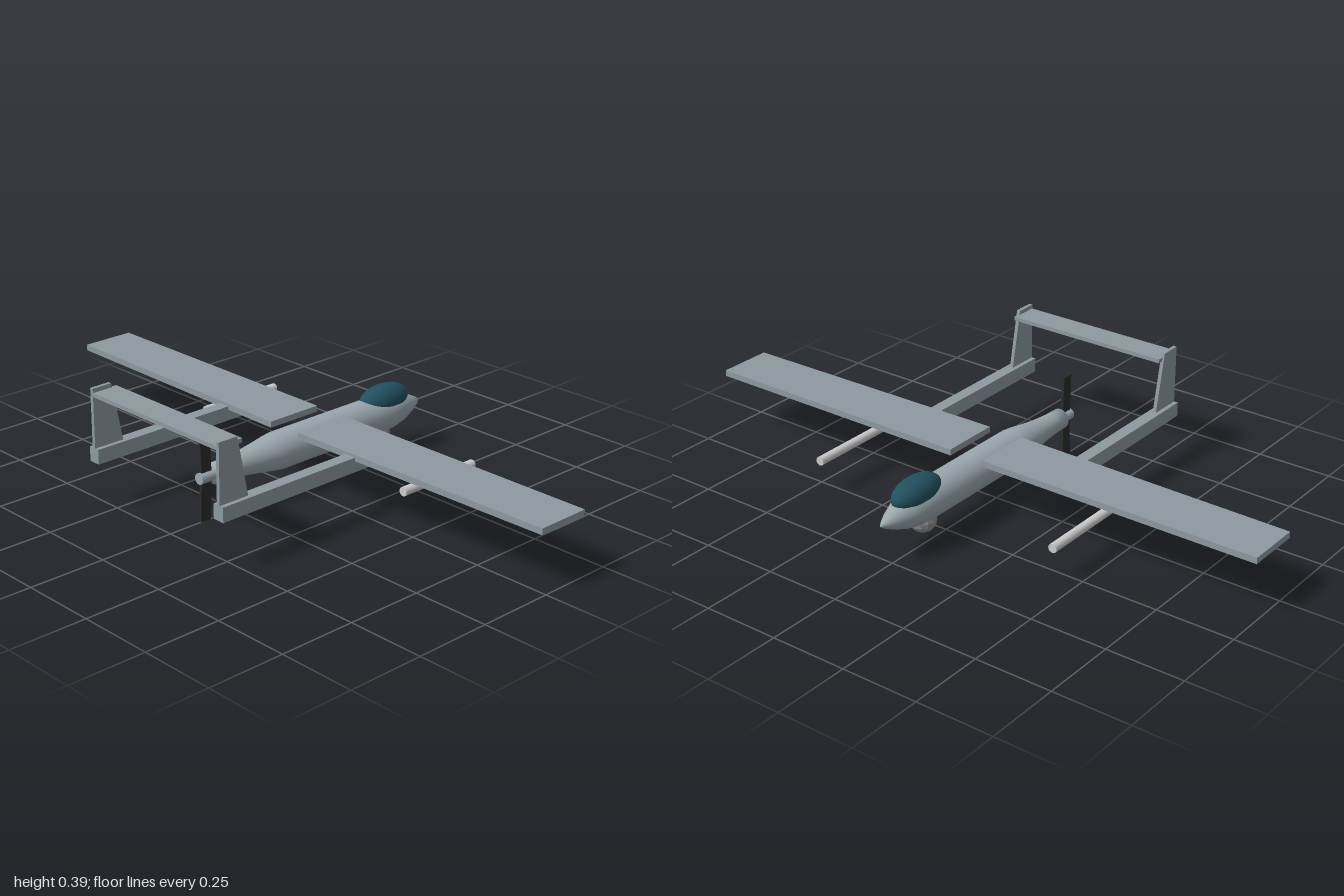
import * as THREE from 'three';

export function createModel() {
  const model = new THREE.Group();
  const mat = (color, flatShading = false) => new THREE.MeshStandardMaterial({ color, flatShading });
  const hull = mat(0x9aa7ae);
  const panel = mat(0x8d9aa0, true);
  const glass = mat(0x22505e);
  const dark = mat(0x2b2b2b, true);
  const grey = mat(0xcccccc);
  const sensorMat = mat(0x909090, true);
  const axisY = 0.143;

  const add = (name, geometry, material, x = 0, y = 0, z = 0) => {
    const mesh = new THREE.Mesh(geometry, material);
    mesh.name = name;
    mesh.position.set(x, y, z);
    model.add(mesh);
    return mesh;
  };
  const polygon = (points, depth) => new THREE.ExtrudeGeometry(
    new THREE.Shape(points.map(([x, y]) => new THREE.Vector2(x, y))),
    { depth, bevelEnabled: false });
  const rod = (radius, length, sides) =>
    new THREE.CylinderGeometry(radius, radius, length, sides).rotateZ(-Math.PI / 2);

  // Fuselage: body of revolution along x, [position, radius] from tail to nose
  const profile = [
    [-0.335, 0], [-0.335, 0.033], [-0.28, 0.034], [-0.22, 0.039], [-0.15, 0.049],
    [-0.11, 0.056], [-0.075, 0.06], [0.1, 0.06], [0.34, 0.06], [0.40, 0.058],
    [0.45, 0.048], [0.50, 0.029], [0.53, 0.014], [0.55, 0],
  ].map(([x, r]) => new THREE.Vector2(r, x));
  add('fuselage', new THREE.LatheGeometry(profile, 32).rotateZ(-Math.PI / 2), hull, 0, axisY);

  // Canopy bubble and sensor ball under the nose
  add('canopy', new THREE.SphereGeometry(1, 24, 16).scale(0.1, 0.048, 0.05), glass, 0.385, 0.189);
  add('sensorBall', new THREE.SphereGeometry(0.043, 12, 8), sensorMat, 0.357, 0.086);

  // Pusher propeller
  add('propellerHub', rod(0.018, 0.055, 16), hull, -0.36, 0.141);
  for (const s of [1, -1]) {
    const blade = add(s > 0 ? 'upperBlade' : 'lowerBlade',
      new THREE.BoxGeometry(0.038, 0.14, 0.01), dark, -0.364, 0.141 + s * 0.07);
    blade.rotation.z = s * 0.04;
  }

  // Paired parts on each side
  for (const s of [1, -1]) {
    const side = s > 0 ? 'front' : 'back';
    // Wing with a slightly tapered trailing edge
    const outline = [[0.15, s * 0.06], [0.15, s], [-0.03, s], [-0.045, s * 0.06]];
    add(`${side}Wing`, polygon(outline, 0.02).rotateX(Math.PI / 2), panel, 0, 0.21);
    add(`${side}Boom`, new THREE.BoxGeometry(0.625, 0.047, 0.04), panel, -0.2425, 0.1785, s * 0.28);
    add(`${side}Fin`, polygon([[-0.555, 0.2], [-0.449, 0.2], [-0.487, 0.392], [-0.555, 0.392]], 0.012),
      panel, 0, 0, s * 0.28 - 0.006);
    add(`${side}Pod`, rod(0.0145, 0.3, 16), grey, 0.168, 0.12, s * 0.44);
  }

  // Tailplane joining the fins
  add('tailplane', new THREE.BoxGeometry(0.09, 0.013, 0.56), panel, -0.509, 0.372);
  return model;
}
